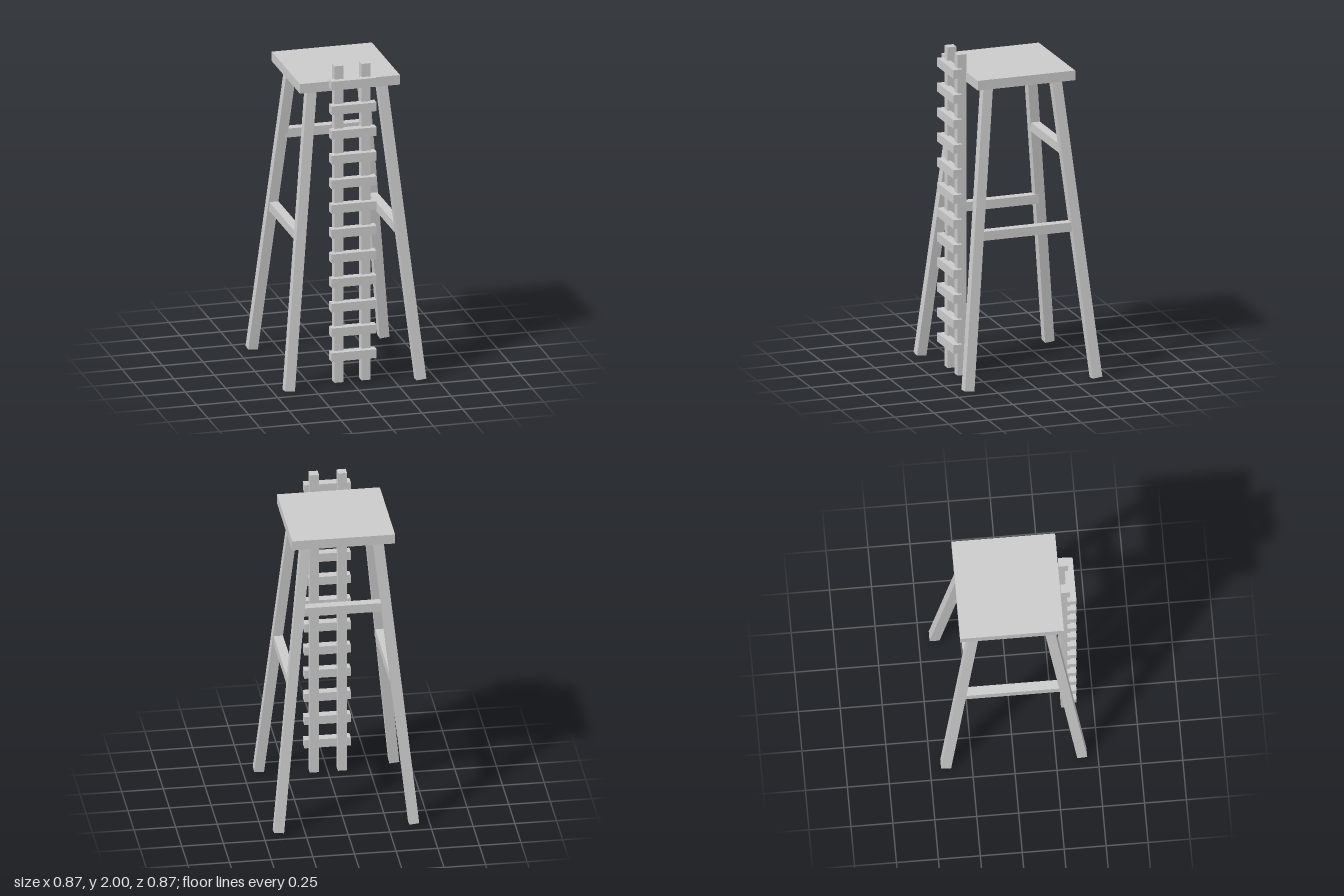
import * as THREE from 'three';

export function createModel() {
  const model = new THREE.Group();
  const material = new THREE.MeshStandardMaterial({ color: 0xcccccc, flatShading: true });

  function beam(name, size, position) {
    const mesh = new THREE.Mesh(new THREE.BoxGeometry(...size), material);
    mesh.name = name;
    mesh.position.set(...position);
    model.add(mesh);
    return mesh;
  }

  // Square platform
  beam('platform', [0.618, 0.06, 0.618], [0, 1.859, -0.002]);

  // Four splayed legs, leaning inward on both axes
  const up = new THREE.Vector3(0, 1, 0);
  for (const sx of [-1, 1]) {
    for (const sz of [-1, 1]) {
      const foot = new THREE.Vector3(sx * 0.406, 0.007, sz * 0.406);
      const top = new THREE.Vector3(sx * 0.216, 1.84, sz * 0.216);
      const axis = top.clone().sub(foot);
      const centre = foot.clone().add(top).multiplyScalar(0.5);
      const leg = beam(`${sz > 0 ? 'front' : 'back'}${sx > 0 ? 'Left' : 'Right'}Leg`,
        [0.06, axis.length(), 0.06], centre.toArray());
      leg.quaternion.setFromUnitVectors(up, axis.normalize());
    }
  }

  // Braces: one low on each side, one high at the back
  for (const sx of [-1, 1]) {
    beam(sx > 0 ? 'leftBrace' : 'rightBrace', [0.056, 0.056, 0.6], [sx * 0.305, 0.929, 0]);
  }
  beam('backBrace', [0.5, 0.056, 0.056], [0, 1.396, -0.26]);

  // Ladder against the front edge: two rails and twelve rungs
  for (const sx of [-1, 1]) {
    beam(sx > 0 ? 'leftRail' : 'rightRail', [0.055, 1.988, 0.055], [sx * 0.084, 1.006, 0.334]);
  }
  for (let i = 0; i < 12; i++) {
    beam(`rung${i + 1}`, [0.279, 0.054, 0.054], [0, 0.185 + i * 0.155, 0.37]);
  }

  return model;
}
